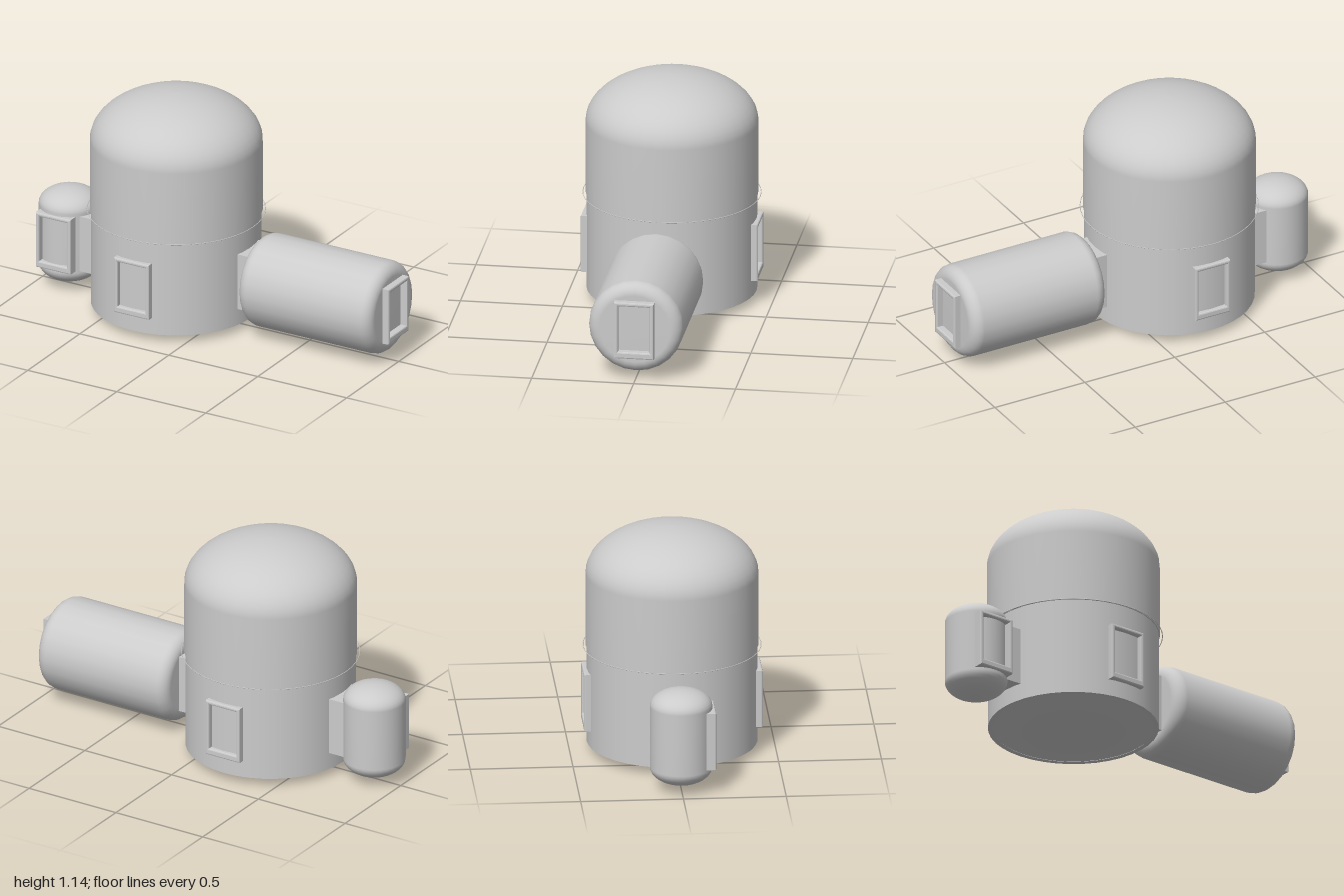
import * as THREE from 'three';

const material = new THREE.MeshStandardMaterial({ color: 0xcccccc, side: THREE.DoubleSide });
const BODY_X = -0.25, DOOR_Y = 0.27;

function add(parent, name, geometry, x = 0, y = 0, z = 0) {
  const mesh = new THREE.Mesh(geometry, material);
  mesh.name = name;
  mesh.position.set(x, y, z);
  parent.add(mesh);
  return mesh;
}

// Quarter-ellipse profile from the rim (r, y) to the axis (0, y + h)
function capProfile(r, y, h, steps = 10) {
  return Array.from({ length: steps + 1 }, (_, i) => {
    const a = (i / steps) * Math.PI / 2;
    return new THREE.Vector2(i === steps ? 0 : r * Math.cos(a), y + h * Math.sin(a));
  });
}

const lathe = (points, sides = 40) => new THREE.LatheGeometry(points, sides);

function rect(path, x0, y0, x1, y1) {
  path.moveTo(x0, y0);
  path.lineTo(x1, y0);
  path.lineTo(x1, y1);
  path.lineTo(x0, y1);
  path.closePath();
  return path;
}

// Bevelled door surround with a raised sill; its outer face lies at local z = 0
function doorFrame(parent, name, x, z, turn, depth = 0.06) {
  const bevel = 0.007;
  const shape = rect(new THREE.Shape(), -0.091, -0.138, 0.091, 0.138);
  shape.holes.push(rect(new THREE.Path(), -0.085, -0.118, 0.085, 0.132));
  const geometry = new THREE.ExtrudeGeometry(shape, {
    depth: depth - bevel, bevelThickness: bevel, bevelSize: bevel, bevelSegments: 2,
  });
  geometry.translate(0, 0, -depth);
  add(parent, name, geometry, x, DOOR_Y, z).rotation.y = turn;
}

export function createModel() {
  const model = new THREE.Group();
  model.name = 'habitat';

  // Main module: lower wall, base rim, bulged floor, domed upper shell, seam hoop
  const main = new THREE.Group();
  main.name = 'mainModule';
  main.position.x = BODY_X;
  model.add(main);
  add(main, 'lowerWall', new THREE.CylinderGeometry(0.415, 0.415, 0.495, 40, 1, true), 0, 0.2875, 0);
  add(main, 'baseRim', new THREE.RingGeometry(0.39, 0.415, 40), 0, 0.04, 0).rotation.x = Math.PI / 2;
  const floor = [];
  for (let i = 0; i <= 8; i++) {
    const r = 0.392 * i / 8;
    floor.push(new THREE.Vector2(r, 0.043 * (r / 0.392) ** 2));
  }
  add(main, 'bulgedFloor', lathe(floor));
  add(main, 'upperShell', lathe([new THREE.Vector2(0.42, 0.535), ...capProfile(0.42, 0.9, 0.245, 14)]));
  add(main, 'shellLip', new THREE.RingGeometry(0.413, 0.42, 40), 0, 0.535, 0).rotation.x = Math.PI / 2;
  add(main, 'seamHoop', new THREE.TorusGeometry(0.433, 0.002, 6, 48), 0, 0.53, 0).rotation.x = Math.PI / 2;
  doorFrame(main, 'frontDoor', 0, 0.435, 0);
  doorFrame(main, 'backDoor', 0, -0.435, Math.PI);

  // Upright airlock capsule
  const airlock = new THREE.Group();
  airlock.name = 'airlock';
  airlock.position.x = -0.848;
  model.add(airlock);
  const bottom = capProfile(0.152, 0.115, -0.085).reverse();
  add(airlock, 'airlockShell', lathe([...bottom, ...capProfile(0.152, 0.427, 0.085)], 32));
  doorFrame(airlock, 'airlockDoor', 0, 0.165, 0, 0.1);

  // Horizontal side module with rounded ends
  const side = new THREE.Group();
  side.name = 'sideModule';
  model.add(side);
  const R = 0.232, round = 0.06, half = 0.375;
  const profile = [new THREE.Vector2(0, -half)];
  for (const end of [-1, 1]) {
    for (let i = 0; i <= 6; i++) {
      const a = (end < 0 ? i - 6 : i) / 6 * Math.PI / 2;
      profile.push(new THREE.Vector2(R - round + round * Math.cos(a), end * (half - round) + round * Math.sin(a)));
    }
  }
  profile.push(new THREE.Vector2(0, half));
  add(side, 'sideShell', lathe(profile, 24), 0.59, DOOR_Y, 0).rotation.z = -Math.PI / 2;
  doorFrame(side, 'sideDoor', 1, 0, Math.PI / 2);

  // Passages joining the modules
  add(model, 'airlockPassage', new THREE.BoxGeometry(0.11, 0.29, 0.2), -0.69, DOOR_Y, 0);
  add(model, 'sidePassage', new THREE.BoxGeometry(0.09, 0.29, 0.2), 0.185, DOOR_Y, 0);

  return model;
}
